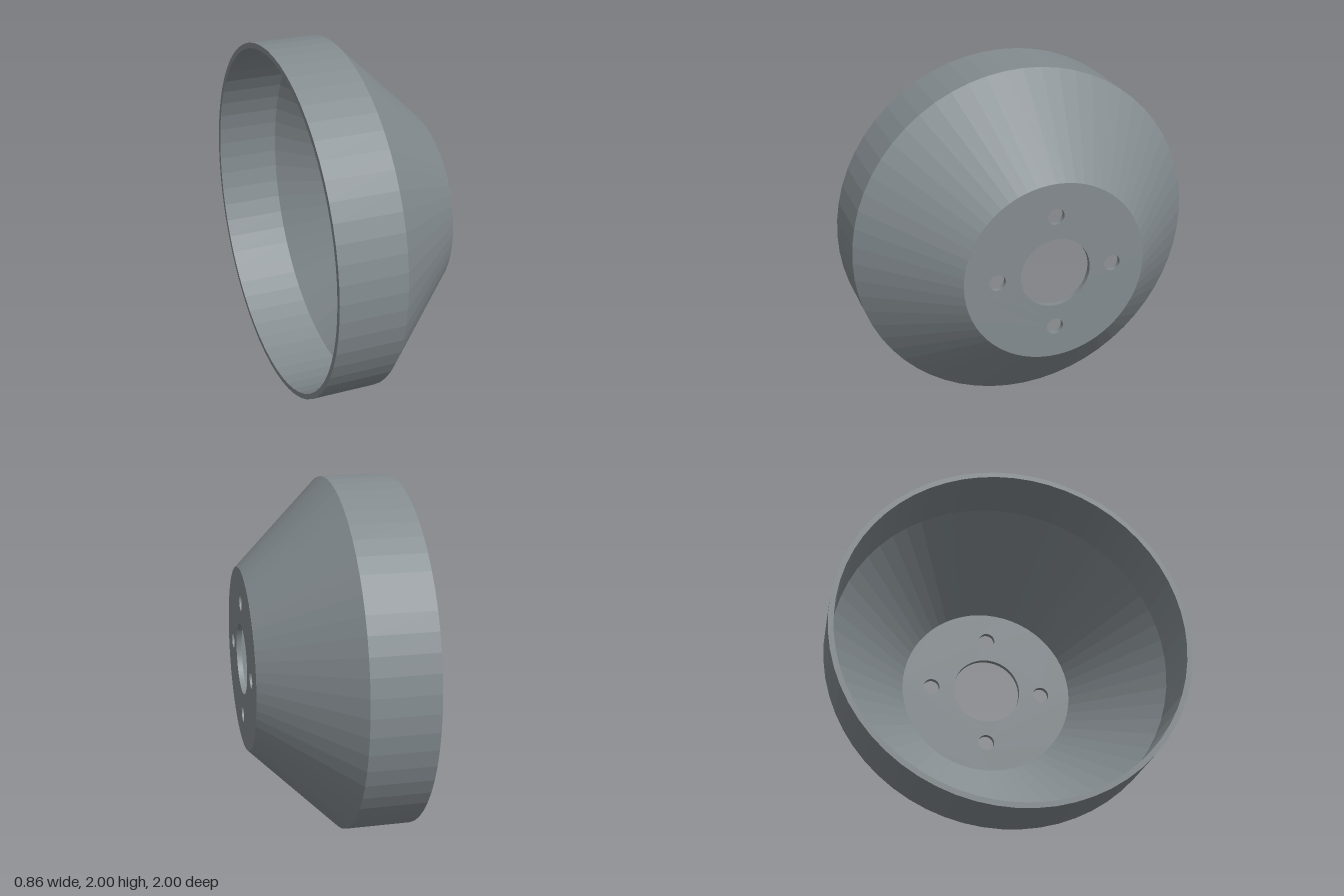
import * as THREE from 'three';

const SEGMENTS = 60;

export function createModel() {
  const group = new THREE.Group();
  group.name = 'flaredCup';
  const material = new THREE.MeshStandardMaterial({ color: 0x848c90, flatShading: true });

  // Hollow shell: cylindrical rim and conical wall, outside then inside (radius, axial)
  const profile = [
    [0.97, -0.432], [1, -0.432], [1, -0.06], [0.52, 0.432],
    [0.507, 0.402], [0.97, -0.072], [0.97, -0.432],
  ].map(([r, a]) => new THREE.Vector2(r, a));
  const shellGeometry = new THREE.LatheGeometry(profile, SEGMENTS);
  shellGeometry.rotateZ(-Math.PI / 2);
  const shell = new THREE.Mesh(shellGeometry, material);
  shell.name = 'shell';
  shell.position.y = 1;
  group.add(shell);

  // Mounting plate with a central bore and four bolt holes
  const circle = (Type, x, y, r) => new Type().absarc(x, y, r, 0, Math.PI * 2, false);
  const plateShape = circle(THREE.Shape, 0, 0, 0.52);
  plateShape.holes.push(circle(THREE.Path, 0, 0, 0.2));
  for (let i = 0; i < 4; i++) {
    const a = (i * Math.PI) / 2;
    plateShape.holes.push(circle(THREE.Path, 0.333 * Math.cos(a), 0.333 * Math.sin(a), 0.047));
  }
  const plateGeometry = new THREE.ExtrudeGeometry(plateShape, {
    depth: 0.03, bevelEnabled: false, curveSegments: SEGMENTS,
  });
  plateGeometry.rotateY(Math.PI / 2);
  const plate = new THREE.Mesh(plateGeometry, material);
  plate.name = 'mountingPlate';
  plate.position.set(0.402, 1, 0);
  group.add(plate);

  return group;
}
